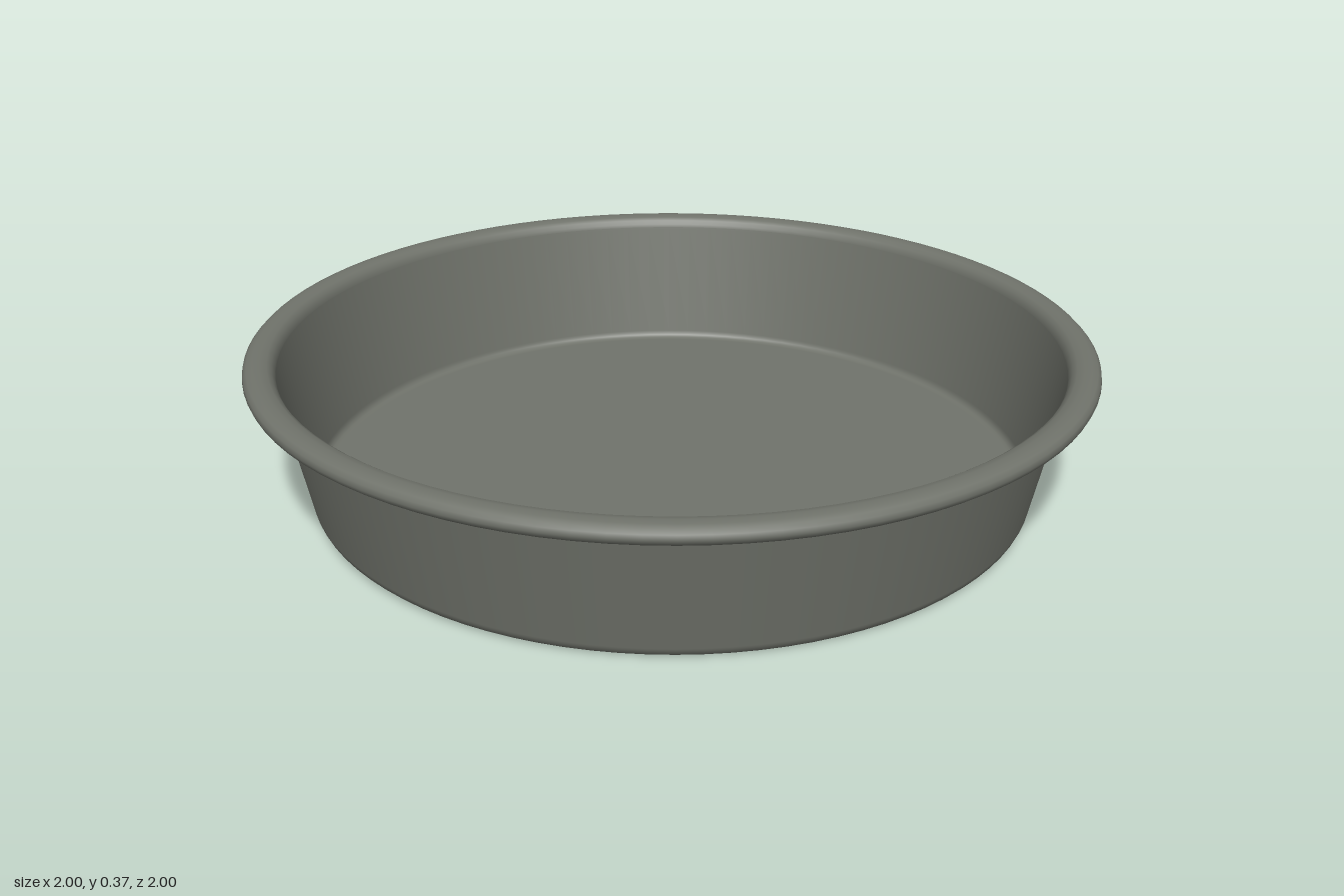
import * as THREE from 'three';

export function createModel() {
  const model = new THREE.Group();
  const pan = new THREE.Group();
  pan.name = 'cakePan';
  const metal = new THREE.MeshStandardMaterial({ color: 0x70736b });
  metal.name = 'dark grey metal';

  // Turn a profile of [radius, height] pairs around the y axis
  const turned = (name, profile) => {
    const points = profile.map(([r, y]) => new THREE.Vector2(r, y));
    const mesh = new THREE.Mesh(new THREE.LatheGeometry(points, 96), metal);
    mesh.name = name;
    pan.add(mesh);
  };

  // Flat underside and flared outer wall, with a small rounded corner
  turned('outerShell', [
    [0, 0], [0.846, 0], [0.85, 0], [0.858, 0.003], [0.864, 0.009],
    [0.868, 0.018], [0.869, 0.023], [0.928, 0.32], [0.929, 0.325],
  ]);

  // Rim rolled outwards and down, open underneath
  turned('rolledRim', [
    [0.929, 0.325], [0.931, 0.337], [0.938, 0.343], [0.95, 0.346], [0.97, 0.345],
    [0.981, 0.34], [0.984, 0.332], [0.979, 0.326], [0.968, 0.325], [0.967, 0.32],
    [0.975, 0.317], [0.986, 0.318], [0.994, 0.324], [0.998, 0.334], [0.996, 0.345],
    [0.988, 0.353], [0.975, 0.357], [0.958, 0.358], [0.942, 0.355],
    [0.932, 0.348], [0.926, 0.338], [0.924, 0.33],
  ]);

  // Inner wall running down into the floor
  turned('innerShell', [
    [0.924, 0.33], [0.923, 0.325], [0.864, 0.03], [0.863, 0.025], [0.86, 0.018],
    [0.854, 0.013], [0.846, 0.011], [0.84, 0.011], [0, 0.011],
  ]);

  // The pan rests very slightly askew
  pan.rotation.set(0.007, 0, -0.004);
  pan.position.set(-0.002, 0.006, -0.003);
  model.add(pan);
  return model;
}
